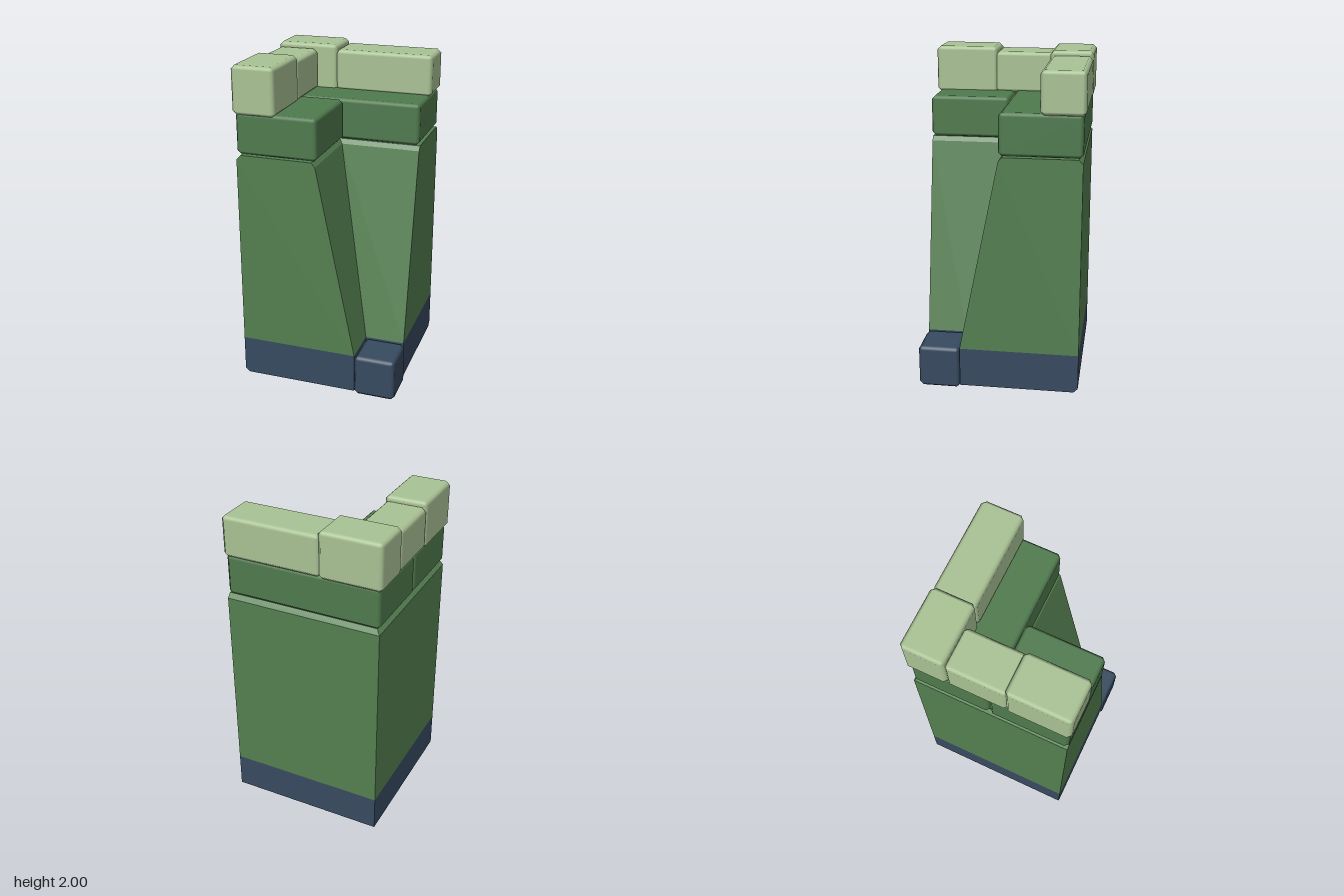
import * as THREE from 'three';

const flat = (name, color) => {
  const m = new THREE.MeshStandardMaterial({ color });
  m.name = name;
  return m;
};

// Box with 45-degree chamfers and softly blended edge normals, given its min and max corners
function chamferBox(min, max, b) {
  const size = max.map((v, i) => v - min[i]);
  const mid = max.map((v, i) => (v + min[i]) / 2);
  const g = new THREE.BoxGeometry(1, 1, 1, 3, 3, 3);
  const p = g.attributes.position, n = g.attributes.normal;
  for (let i = 0; i < p.count; i++) {
    const c = [p.getX(i), p.getY(i), p.getZ(i)];
    const d = c.map(v => (Math.abs(v) > 0.4 ? Math.sign(v) : 0));
    const count = d.reduce((s, v) => s + Math.abs(v), 0);
    const q = c.map((v, k) => mid[k] + Math.sign(v) * (size[k] / 2 - b) + (d[k] * b) / count);
    p.setXYZ(i, ...q);
    n.setXYZ(i, ...d.map(v => v / Math.sqrt(count)));
  }
  return g;
}

// L-shaped outline: o = outer walls, n = inner notch corner
const END = 0.485;
const ring = (y, o, n) =>
  [[-o, -o], [END, -o], [END, n], [n, n], [n, END], [-o, END]].map(([x, z]) => [x, y, z]);

// Joins L-shaped rings from bottom to top, capping either end
function loftL(rings, capBottom, capTop) {
  const v = [];
  const quad = (a, b, c, d) => v.push(...a, ...b, ...c, ...a, ...c, ...d);
  for (let r = 0; r < rings.length - 1; r++) {
    const lo = rings[r], hi = rings[r + 1];
    for (let i = 0; i < 6; i++) {
      const j = (i + 1) % 6;
      quad(lo[i], hi[i], hi[j], lo[j]);
    }
  }
  const cap = ([A, B, C, D, E, F], up) => {
    for (const q of [[A, B, C, D], [A, D, E, F]]) quad(...(up ? q.reverse() : q));
  };
  if (capBottom) cap(rings[0], false);
  if (capTop) cap(rings[rings.length - 1], true);
  const g = new THREE.BufferGeometry();
  g.setAttribute('position', new THREE.Float32BufferAttribute(v, 3));
  g.computeVertexNormals();
  return g;
}

export function createModel() {
  const group = new THREE.Group();
  const wallGreen = flat('wall green', 0x547f50);
  const trimGreen = flat('trim green', 0x4f7a4d);
  const paleGreen = flat('pale green', 0xa9c294);
  const navy = flat('navy', 0x374a60);
  const add = (name, geometry, material) => {
    const mesh = new THREE.Mesh(geometry, material);
    mesh.name = name;
    group.add(mesh);
  };

  // Base band and the corner foot standing in the notch
  add('base', loftL([ring(0.02, 0.46, 0.24), ring(0.045, 0.485, 0.24), ring(0.265, 0.485, 0.24)], true, false), navy);
  add('cornerFoot', chamferBox([0.24, 0, 0.24], [0.495, 0.265, 0.495], 0.022), navy);

  // Wall whose inner faces lean back towards the top
  add('wall', loftL([ring(0.265, 0.485, 0.24), ring(1.445, 0.485, 0), ring(1.472, 0.46, -0.022)], false, true), wallGreen);

  // Trim course
  add('backTrim', chamferBox([-0.485, 1.475, -0.485], [0.482, 1.727, 0], 0.022), trimGreen);
  add('sideTrim', chamferBox([-0.485, 1.475, 0], [0.01, 1.727, 0.485], 0.022), trimGreen);

  // Cap stones along the outer edge
  const caps = [
    ['cornerCap', [-0.5, 1.71, -0.5], [-0.112, 2, -0.235]],
    ['backCap', [-0.125, 1.715, -0.497], [0.493, 1.97, -0.237]],
    ['sideCap', [-0.497, 1.715, -0.245], [-0.237, 1.97, 0.125]],
    ['frontCap', [-0.5, 1.71, 0.108], [-0.235, 2, 0.497]],
  ];
  for (const [name, min, max] of caps) add(name, chamferBox(min, max, 0.024), paleGreen);

  return group;
}
